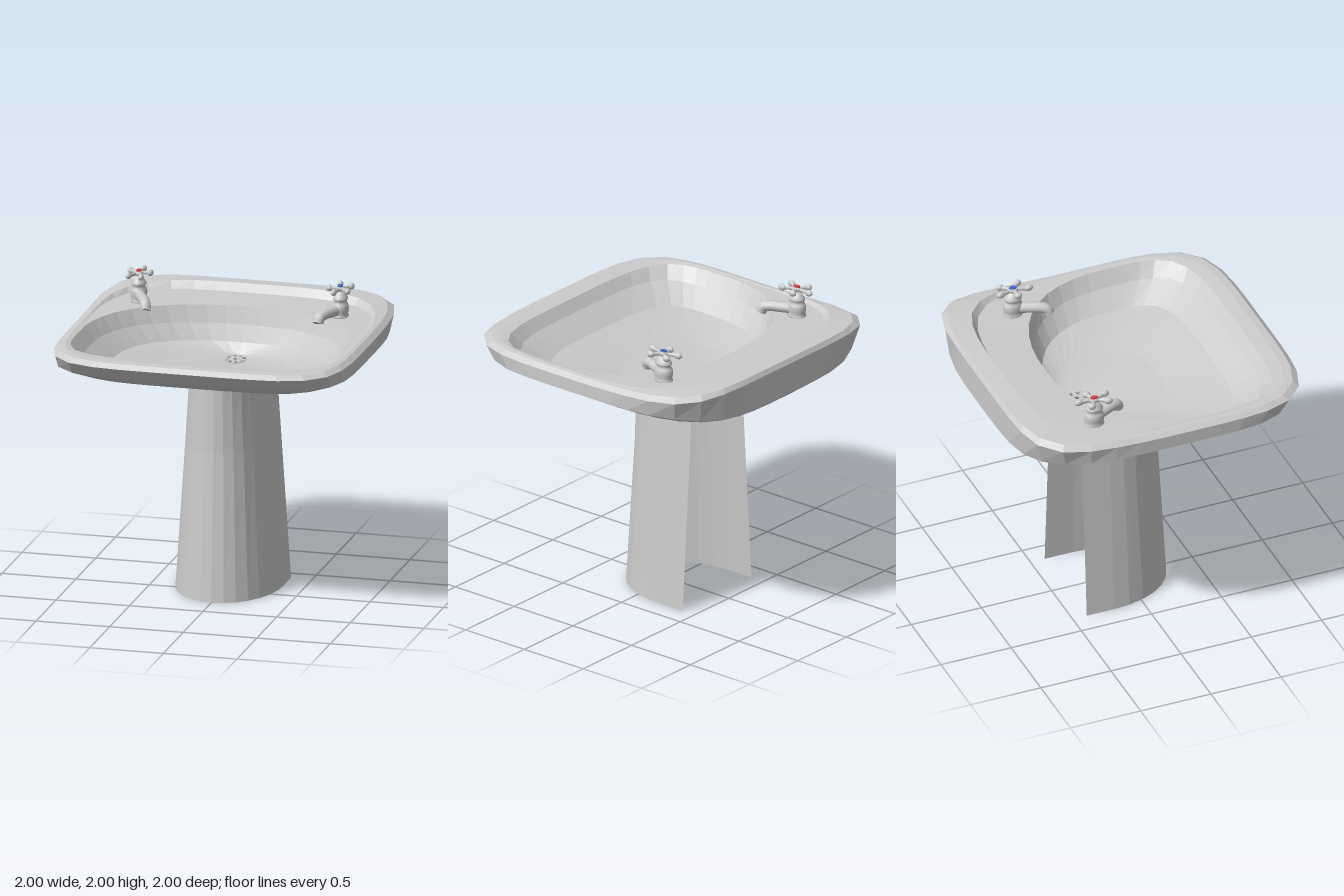
import * as THREE from 'three';

const grey = new THREE.MeshStandardMaterial({ color: 0xcccccc });
const ceramic = new THREE.MeshStandardMaterial({ color: 0xcccccc, flatShading: true });
const shell = new THREE.MeshStandardMaterial({ color: 0xcccccc, flatShading: true, side: THREE.DoubleSide });
const dark = new THREE.MeshStandardMaterial({ color: 0x606060 });

function add(parent, name, geometry, material, x = 0, y = 0, z = 0) {
  const mesh = new THREE.Mesh(geometry, material);
  mesh.name = name;
  mesh.position.set(x, y, z);
  parent.add(mesh);
  return mesh;
}

// Skin a list of equal-length point rings; closed joins each ring's ends
function loft(rings, closed) {
  const n = rings[0].length, pos = rings.flat(2), index = [];
  for (let i = 0; i < rings.length - 1; i++) {
    for (let j = 0; j < (closed ? n : n - 1); j++) {
      const k = (j + 1) % n;
      const a = i * n + j, b = i * n + k, c = a + n, d = b + n;
      index.push(a, c, b, b, c, d);
    }
  }
  const g = new THREE.BufferGeometry();
  g.setAttribute('position', new THREE.Float32BufferAttribute(pos, 3));
  g.setIndex(index);
  g.computeVertexNormals();
  return g;
}

// Rounded outline whose height varies between its back, sides and front
function outline([hw, zb, zf, zc, nb, nf, yb, ys, yf, bend = 2], count = 44) {
  return Array.from({ length: count }, (_, j) => {
    const a = (j / count) * Math.PI * 2, c = Math.cos(a), s = Math.sin(a);
    const n = s < 0 ? nb : nf;
    const r = (Math.abs(c) ** n + Math.abs(s) ** n) ** (-1 / n);
    const t = r * s;
    const y = ys + ((t < 0 ? yb : yf) - ys) * Math.abs(t) ** bend;
    return [hw * r * c, y, zc + (t < 0 ? zc - zb : zf - zc) * t];
  });
}

function makeBasin() {
  // half width, back z, front z, centre z, back and front squareness, y at back, side, front, bend
  const sections = [
    [0.07, -0.42, -0.22, -0.32, 2, 2, 1.458, 1.458, 1.458], // drain hole, underside
    [0.25, -0.5, 0.15, -0.15, 2.5, 2.5, 1.457, 1.462, 1.478],
    [0.55, -0.75, 0.5, -0.05, 2.8, 3, 1.505, 1.503, 1.535],
    [0.85, -0.92, 0.83, 0, 3.3, 4, 1.54, 1.585, 1.62, 3],
    [1, -1, 0.91, 0, 4.2, 5, 1.6, 1.67, 1.67, 8], // outer band
    [1, -1, 1, 0, 6, 5, 1.81, 1.76, 1.762],
    [0.965, -0.98, 0.965, 0, 5.5, 5, 1.84, 1.787, 1.79], // top of the rim
    [0.935, -0.86, 0.91, 0, 3.8, 5, 1.85, 1.792, 1.793],
    [0.92, -0.83, 0.87, 0, 3.6, 5, 1.795, 1.787, 1.79], // tap deck
    [0.9, -0.55, 0.82, 0.25, 2.3, 4.5, 1.785, 1.785, 1.785], // bowl lip
    [0.83, -0.52, 0.76, 0.23, 2.3, 4.5, 1.67, 1.69, 1.715],
    [0.7, -0.48, 0.6, 0.18, 2.3, 4, 1.56, 1.585, 1.615],
    [0.4, -0.44, 0.25, -0.05, 2, 2.5, 1.515, 1.525, 1.54],
    [0.07, -0.42, -0.22, -0.32, 2, 2, 1.49, 1.49, 1.49], // drain hole, bowl
    [0.07, -0.42, -0.22, -0.32, 2, 2, 1.458, 1.458, 1.458],
  ];
  return loft(sections.map((s) => outline(s)), true);
}

// Shell with straight sides, a rounded front and an open back
function makePedestal() {
  const levels = [[0, 0.355, 0.295], [1, 0.287, 0.24], [1.475, 0.255, 0.235]];
  const rings = levels.map(([y, hw, zf]) => {
    const ring = [[hw, y, -0.4]];
    for (let j = 0; j <= 14; j++) {
      const a = (j / 14) * Math.PI;
      ring.push([hw * Math.cos(a), y, -0.2 + (zf + 0.2) * Math.sin(a)]);
    }
    ring.push([-hw, y, -0.4]);
    return ring;
  });
  return loft(rings, false);
}

// Oval strainer with eight wedge-shaped openings
function makeGrate() {
  const shape = new THREE.Shape().absarc(0, 0, 0.072, 0, Math.PI * 2);
  for (let i = 0; i < 8; i++) {
    const a = (i / 8) * Math.PI * 2 + 0.14, b = a + Math.PI / 4 - 0.28;
    const m = (a + b) / 2;
    const hole = new THREE.Path();
    hole.moveTo(Math.cos(m) * 0.03, Math.sin(m) * 0.03);
    hole.lineTo(Math.cos(a) * 0.066, Math.sin(a) * 0.066);
    hole.lineTo(Math.cos(b) * 0.066, Math.sin(b) * 0.066);
    hole.closePath();
    shape.holes.push(hole);
  }
  shape.holes.push(new THREE.Path().absarc(0, 0, 0.014, 0, Math.PI * 2));
  const g = new THREE.ExtrudeGeometry(shape, { depth: 0.008, bevelEnabled: false, curveSegments: 24 });
  return g.rotateX(-Math.PI / 2).scale(1, 1, 1.38);
}

function makeTap(name, color, spoutTurn, handleTurn) {
  const tap = new THREE.Group();
  tap.name = name;
  // Turned oval body, from the deck flange up to the spindle
  const profile = [
    [0, 0], [0.062, 0], [0.062, 0.012], [0.054, 0.02], [0.06, 0.04], [0.062, 0.07], [0.056, 0.09],
    [0.046, 0.1], [0.048, 0.115], [0.054, 0.12], [0.054, 0.132], [0.044, 0.145], [0.034, 0.165],
    [0.018, 0.172], [0.018, 0.18], [0.032, 0.185], [0.034, 0.2], [0.022, 0.208], [0, 0.208],
  ].map(([x, y]) => new THREE.Vector2(x, y));
  add(tap, 'tapBody', new THREE.LatheGeometry(profile, 20).scale(0.88, 1, 1.1), grey);

  // Spout bending down at its tip
  const path = new THREE.CatmullRomCurve3([
    [0, 0.05, 0], [0, 0.054, 0.1], [0, 0.054, 0.18], [0, 0.042, 0.225], [0, 0.012, 0.24],
  ].map((p) => new THREE.Vector3(...p)));
  const spout = new THREE.Group();
  spout.name = 'spout';
  spout.rotation.y = spoutTurn;
  add(spout, 'spoutTube', new THREE.TubeGeometry(path, 16, 0.036, 12), grey);
  const tip = add(spout, 'spoutEnd', new THREE.CircleGeometry(0.036, 12), grey);
  tip.position.copy(path.getPoint(1));
  tip.lookAt(path.getPoint(1).add(path.getTangent(1)));
  tap.add(spout);

  // Five-armed oval handle with knobs
  const handle = new THREE.Group();
  handle.name = 'handle';
  handle.position.y = 0.193;
  handle.scale.set(0.75, 1, 1.1);
  const arm = new THREE.CylinderGeometry(0.016, 0.011, 0.08, 10).rotateX(Math.PI / 2).translate(0, 0, 0.06);
  const knob = new THREE.SphereGeometry(0.025, 12, 8).scale(1, 0.9, 1.1).translate(0, 0, 0.098);
  for (let i = 0; i < 5; i++) {
    const spoke = new THREE.Group();
    spoke.name = 'handleArm';
    spoke.rotation.y = handleTurn + (i / 5) * Math.PI * 2;
    add(spoke, 'arm', arm, grey);
    add(spoke, 'knob', knob, grey);
    handle.add(spoke);
  }
  // Coloured temperature button
  const button = new THREE.MeshStandardMaterial({ color });
  add(handle, 'button', new THREE.CylinderGeometry(0.022, 0.024, 0.012, 16), button, 0, 0.017, 0);
  tap.add(handle);
  return tap;
}

export function createModel() {
  const model = new THREE.Group();
  model.name = 'pedestalSink';
  add(model, 'basin', makeBasin(), ceramic);
  add(model, 'pedestal', makePedestal(), shell);
  add(model, 'drainGrate', makeGrate(), grey, 0, 1.486, -0.32);
  const plug = new THREE.CylinderGeometry(0.07, 0.07, 0.015, 24).scale(1, 1, 1.42);
  add(model, 'drainPlug', plug, dark, 0, 1.468, -0.32);

  const hot = makeTap('hotTap', 0xd04040, 0.45, 0.55);
  hot.position.set(-0.705, 1.784, -0.495);
  const cold = makeTap('coldTap', 0x4068c8, -0.4, -0.25);
  cold.position.set(0.665, 1.784, -0.495);
  model.add(hot, cold);
  return model;
}
